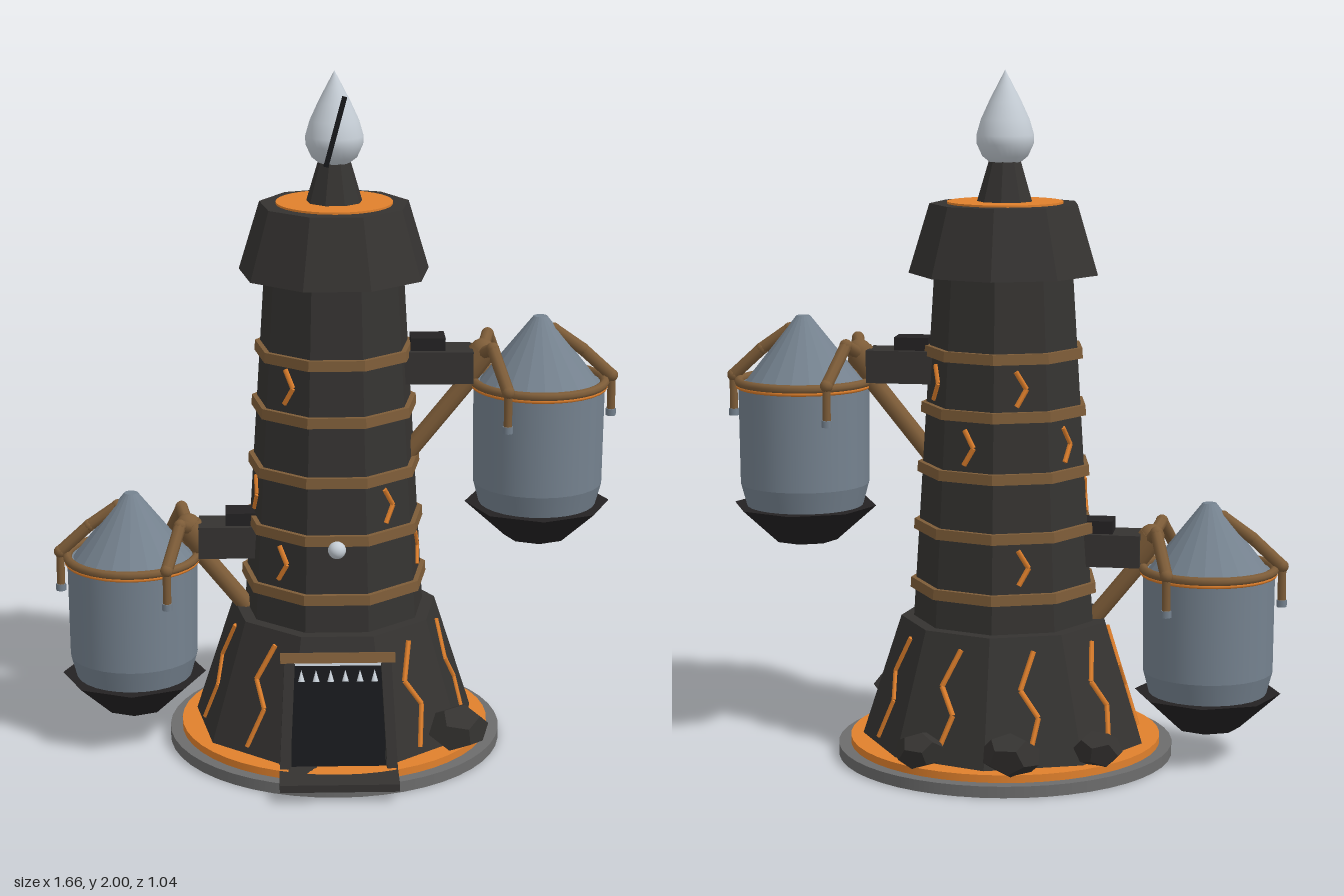
import * as THREE from 'three';

const mat = (color, flat = false) =>
  new THREE.MeshStandardMaterial({ color, flatShading: flat, side: THREE.DoubleSide });
const stone = mat(0x353331, true);
const darkStone = mat(0x242223, true);
const black = mat(0x17181b, true);
const wood = mat(0x7d5c38);
const woodFlat = mat(0x7d5c38, true);
const orange = mat(0xe0802c);
const grey = mat(0x6c6c6c);
const steel = mat(0x75828f);
const pale = mat(0xc6ced6);

const SIDES = 9;
const APOTHEM = Math.cos(Math.PI / SIDES);
const V = (x, y, z) => new THREE.Vector3(x, y, z);

function add(parent, name, geometry, material, x = 0, y = 0, z = 0) {
  const mesh = new THREE.Mesh(geometry, material);
  mesh.name = name;
  mesh.position.set(x, y, z);
  parent.add(mesh);
  return mesh;
}

// Tapered prism between two heights; nine-sided ones have a flat face to the front
function drum(parent, name, material, rBottom, rTop, y0, y1, sides = SIDES) {
  const g = new THREE.CylinderGeometry(rTop, rBottom, y1 - y0, sides);
  if (sides === SIDES) g.rotateY(Math.PI);
  return add(parent, name, g, material, 0, (y0 + y1) / 2, 0);
}

// Straight round bar between two points
function bar(parent, name, a, b, radius, material, sides = 8) {
  const mesh = add(parent, name, new THREE.CylinderGeometry(radius, radius, a.distanceTo(b), sides), material);
  mesh.position.copy(a).add(b).multiplyScalar(0.5);
  mesh.quaternion.setFromUnitVectors(V(0, 1, 0), b.clone().sub(a).normalize());
  return mesh;
}

const baseRadius = (y) => THREE.MathUtils.mapLinear(y, 0.05, 0.41, 0.421, 0.305);
const shaftRadius = (y) => THREE.MathUtils.mapLinear(y, 0.41, 1.42, 0.268, 0.205);

// Glowing zigzag lying on one face of the tower; steps are [sideways, height]
function crack(parent, degrees, steps, radiusAt) {
  const a = THREE.MathUtils.degToRad(degrees);
  const points = steps.map(([u, y]) => {
    const r = radiusAt(y) * APOTHEM + 0.002;
    return V(Math.sin(a) * r + Math.cos(a) * u, y, Math.cos(a) * r - Math.sin(a) * u);
  });
  for (let i = 1; i < points.length; i++) bar(parent, 'crack', points[i - 1], points[i], 0.008, orange, 5);
}

function tower(root) {
  const g = new THREE.Group();
  g.name = 'tower';
  root.add(g);

  drum(g, 'groundDisc', grey, 0.492, 0.492, 0, 0.033, 48);
  drum(g, 'lavaDisc', orange, 0.456, 0.456, 0.033, 0.055, 48);
  drum(g, 'flaredBase', stone, 0.421, 0.305, 0.05, 0.41);
  drum(g, 'shaft', stone, 0.268, 0.205, 0.41, 1.42);
  drum(g, 'crown', stone, 0.279, 0.218, 1.42, 1.62);
  drum(g, 'crownGlow', orange, 0.168, 0.168, 1.61, 1.626, 32);
  drum(g, 'neck', stone, 0.083, 0.046, 1.62, 1.745);

  for (const y of [0.51, 0.685, 0.855, 1.03, 1.195]) {
    const r = shaftRadius(y) + 0.016;
    drum(g, 'woodBand', woodFlat, r, r - 0.002, y - 0.015, y + 0.015);
  }

  // Cracks on every face but the gate's, then scattered ones up the shaft
  for (let d = 40; d < 360; d += 40) {
    crack(g, d, [[0.02, 0.37], [-0.025, 0.265], [0.022, 0.19], [-0.015, 0.075]], baseRadius);
  }
  const spots = [[320, 1.12], [320, 0.6], [40, 0.77], [80, 0.6], [160, 0.94], [120, 1.11],
    [200, 1.11], [200, 0.6], [240, 0.94], [280, 0.77]];
  for (const [d, y] of spots) {
    crack(g, d, [[-0.012, y + 0.05], [0.018, y], [-0.012, y - 0.05]], shaftRadius);
  }

  add(g, 'jewel', new THREE.SphereGeometry(0.026, 16, 12), pale, 0, 0.66, 0.25);

  // Teardrop flame with a slit pupil
  const profile = [[0, 1.722], [0.035, 1.73], [0.066, 1.755], [0.082, 1.79], [0.083, 1.815],
    [0.07, 1.86], [0.047, 1.91], [0.024, 1.955], [0, 2]].map(([r, y]) => new THREE.Vector2(r, y));
  add(g, 'flame', new THREE.LatheGeometry(profile, 28), pale);
  const slit = add(g, 'pupil', new THREE.BoxGeometry(0.014, 0.205, 0.008), black, 0, 1.84, 0.09);
  slit.rotation.z = -0.26;
}

function gate(root) {
  const g = new THREE.Group();
  g.name = 'gate';
  g.position.set(0, 0.055, 0.405);
  g.rotation.x = -0.3;
  root.add(g);
  add(g, 'door', new THREE.BoxGeometry(0.27, 0.29, 0.02), black, 0, 0.15, 0);
  add(g, 'lintel', new THREE.BoxGeometry(0.33, 0.028, 0.04), woodFlat, 0, 0.315, 0.012);
  add(g, 'lintelTrim', new THREE.BoxGeometry(0.25, 0.008, 0.03), pale, 0, 0.297, 0.008);
  for (const s of [-1, 1]) {
    const jamb = add(g, 'gatePost', new THREE.BoxGeometry(0.03, 0.3, 0.045), stone, s * 0.146, 0.15, 0.012);
    jamb.rotation.z = s * 0.05;
  }
  for (let i = 0; i < 6; i++) {
    add(g, 'spike', new THREE.ConeGeometry(0.01, 0.034, 8), pale, -0.105 + i * 0.042, 0.265, 0.024);
  }
  add(root, 'doorstep', new THREE.BoxGeometry(0.34, 0.022, 0.2), stone, 0, 0.044, 0.43);
}

function rocks(root) {
  const list = [[0.35, 0.245, 0.09], [-0.08, -0.43, 0.085], [0.19, -0.385, 0.07], [-0.31, -0.3, 0.068]];
  list.forEach(([x, z, r], i) => {
    const rock = add(root, 'rock', new THREE.DodecahedronGeometry(r), stone, x, 0.055 + r * 0.6, z);
    rock.scale.set(1.05, 0.75, 1);
    rock.rotation.set(0.3 * i, 1.1 * i + 0.4, 0.12);
  });
}

// Hanging canister on a bracket, built on the +x side; side -1 turns it to -x
function canister(root, side, lift) {
  const g = new THREE.Group();
  g.name = side > 0 ? 'leftCanister' : 'rightCanister';
  g.position.y = lift;
  if (side < 0) g.rotation.y = Math.PI;
  root.add(g);

  // Bracket
  add(g, 'arm', new THREE.BoxGeometry(0.2, 0.095, 0.12), stone, 0.3, 1.145, 0);
  add(g, 'armCap', new THREE.BoxGeometry(0.1, 0.04, 0.085), darkStone, 0.27, 1.21, 0);
  bar(g, 'strut', V(0.21, 0.87, 0), V(0.395, 1.1, 0), 0.026, wood, 10);
  bar(g, 'armTip', V(0.385, 1.12, 0), V(0.43, 1.18, 0), 0.04, wood, 10);
  add(g, 'hub', new THREE.SphereGeometry(0.038, 14, 10), wood, 0.43, 1.18, 0);

  // Canister
  const pod = new THREE.Group();
  pod.name = 'pod';
  pod.position.x = 0.597;
  g.add(pod);
  drum(pod, 'lid', mat(0x75828f, true), 0.178, 0.02, 1.085, 1.285, 20);
  drum(pod, 'body', steel, 0.189, 0.192, 0.79, 1.09, 28);
  drum(pod, 'bodyFoot', steel, 0.165, 0.189, 0.7, 0.79, 28);
  drum(pod, 'bowl', darkStone, 0.095, 0.213, 0.62, 0.725, 8);
  const ring = (name, r, tube, material, y) =>
    add(pod, name, new THREE.TorusGeometry(r, tube, 8, 32).rotateX(Math.PI / 2), material, 0, y, 0);
  ring('rim', 0.191, 0.013, wood, 1.093);
  ring('rimGlow', 0.193, 0.007, orange, 1.08);

  // Three claws gripping the rim
  const claws = [
    [V(0.04, 1.245, 0), V(0.125, 1.185, 0), V(0.212, 1.105, 0), V(0.212, 0.995, 0)],
    ...[-1, 1].map((s) => [V(-0.165, 1.18, s * 0.02), V(-0.145, 1.21, s * 0.09),
      V(-0.107, 1.105, s * 0.186), V(-0.107, 0.995, s * 0.186)]),
  ];
  for (const p of claws) {
    for (let i = 0; i < 3; i++) {
      bar(pod, 'claw', p[i], p[i + 1], i < 2 ? 0.018 : 0.012, wood);
      add(pod, 'clawJoint', new THREE.SphereGeometry(0.019, 10, 8), wood).position.copy(p[i]);
    }
    add(pod, 'clawTip', new THREE.CylinderGeometry(0.015, 0.015, 0.02, 8), steel).position.copy(p[3]);
  }
}

export function createModel() {
  const model = new THREE.Group();
  model.name = 'watchTower';
  const root = new THREE.Group();
  root.name = 'assembly';
  root.position.z = -0.02;
  model.add(root);
  tower(root);
  gate(root);
  rocks(root);
  canister(root, 1, 0);
  canister(root, -1, -0.525);
  return model;
}
